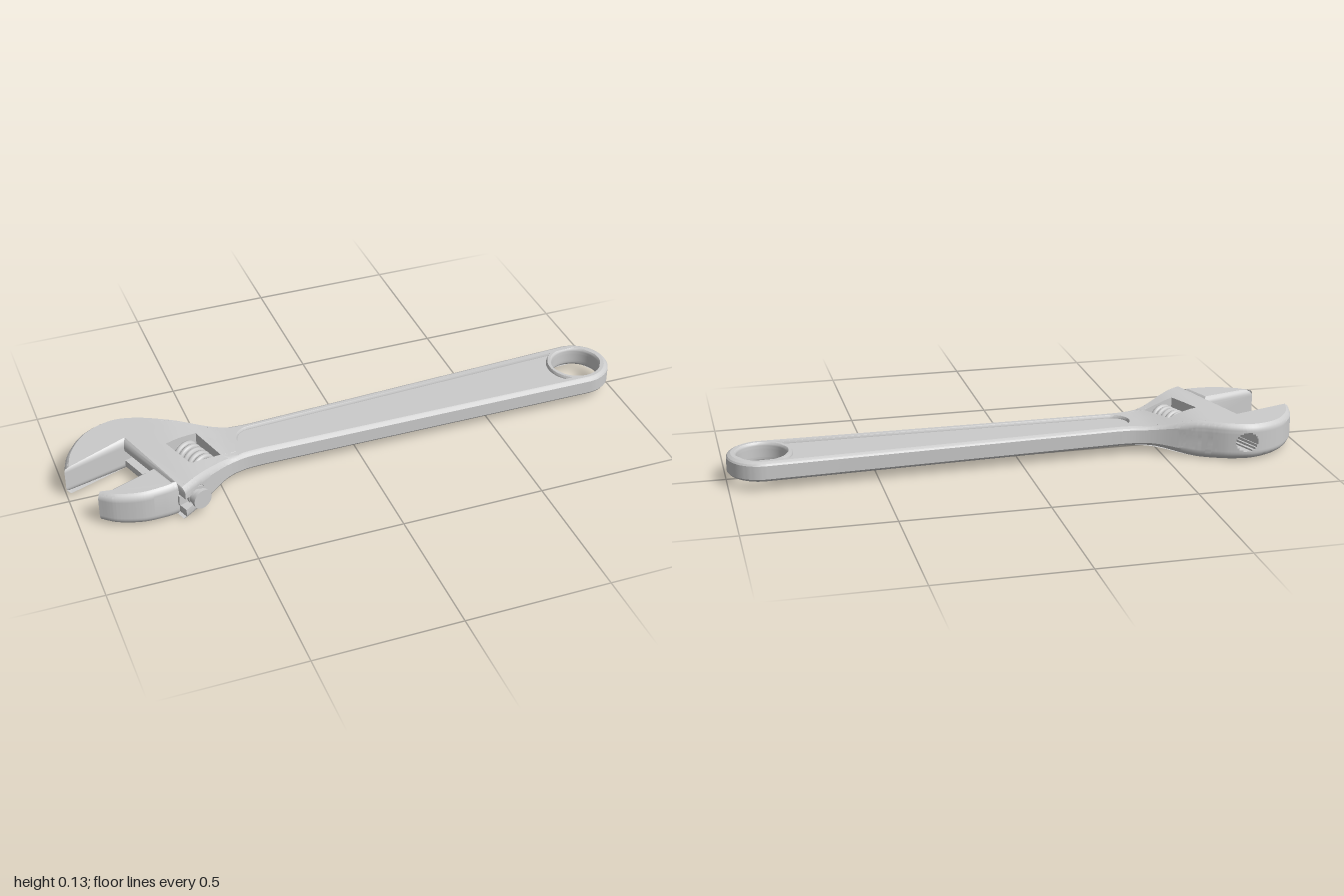
import * as THREE from 'three';
import { toCreasedNormals } from 'three/addons/utils/BufferGeometryUtils.js';

const V = (x, y) => new THREE.Vector2(x, y);
const MID = 0.066; // height of the middle plane, also half the head thickness
const A = V(-0.78, 0.096); // inner corner of the fixed jaw
const D = V(0.34, -0.94), N = V(0.94, 0.34); // sliding direction and its normal
const mat = new THREE.MeshStandardMaterial({ color: 0xcccccc });
const local = (off, t) => A.clone().addScaledVector(N, off).addScaledVector(D, t);

// Thickness relative to the head: thinner at the jaw tips and along the handle
function thickness(x) {
  if (x < -0.65) return 1 - 0.18 * (-0.65 - x) / 0.35;
  return 1 - 0.47 * THREE.MathUtils.smoothstep(x, -0.63, -0.44);
}

// Closed loop with a given winding and no repeated points
function loop(path, ccw = true, bevel = 1) {
  let p = Array.isArray(path) ? path : path.getPoints(24);
  p = p.filter((q, i) => q.distanceTo(p[(i + 1) % p.length]) > 1e-5);
  if (THREE.ShapeUtils.isClockWise(p) === ccw) p.reverse();
  p.bevel = bevel;
  return p;
}

function inset(p, d) {
  return p.map((q, i) => {
    const a = q.clone().sub(p[(i + p.length - 1) % p.length]).normalize();
    const b = p[(i + 1) % p.length].clone().sub(q).normalize();
    const k = d / Math.max(0.5, 1 + a.dot(b));
    return V(q.x - (a.y + b.y) * k, q.y + (a.x + b.x) * k);
  });
}

// Keep the part of a polygon where (p - A) . dir <= limit
function clip(p, dir, limit) {
  const out = [], f = q => limit - q.clone().sub(A).dot(dir);
  p.forEach((q, i) => {
    const r = p[(i + 1) % p.length], a = f(q), b = f(r);
    if (a >= 0) out.push(q);
    if (a * b < 0) out.push(q.clone().lerp(r, a / (a - b)));
  });
  return loop(out);
}

// Add a triangle, splitting it finely where the thickness changes
function tri(out, a, b, c) {
  const e = [[a, b, c], [b, c, a], [c, a, b]];
  const span = ([p, q]) => Math.max(p.x, q.x) > -0.66 && Math.min(p.x, q.x) < -0.42 ? Math.abs(p.x - q.x) : 0;
  e.sort((p, q) => span(q) - span(p));
  const [p, q, r] = e[0];
  if (span(e[0]) > 0.03) {
    const m = p.clone().lerp(q, 0.5);
    tri(out, p, m, r);
    tri(out, m, q, r);
  } else for (const s of [a, b, c]) out.push(s.x, MID + s.y * thickness(s.x), s.z);
}

// Stack outline rings [height, inset] into a solid with holes
function slab(out, contour, holes, rings) {
  const loops = [contour, ...holes];
  const at = rings.map(([h, d]) => loops.map(l =>
    inset(l, d * l.bevel).map(q => new THREE.Vector3(q.x, h, -q.y))));
  for (let k = 0; k + 1 < rings.length; k++) loops.forEach((l, n) => l.forEach((_, i) => {
    const j = (i + 1) % l.length, lo = at[k][n], hi = at[k + 1][n];
    tri(out, lo[i], lo[j], hi[j]);
    tri(out, lo[i], hi[j], hi[i]);
  }));
  const bottom = at[0].flat(), top = at[at.length - 1].flat();
  for (const [a, b, c] of THREE.ShapeUtils.triangulateShape(contour.slice(), holes.map(h => h.slice()))) {
    tri(out, top[a], top[b], top[c]);
    tri(out, bottom[a], bottom[c], bottom[b]);
  }
}

function solid(name, out) {
  const g = new THREE.BufferGeometry();
  g.setAttribute('position', new THREE.Float32BufferAttribute(out, 3));
  const m = new THREE.Mesh(toCreasedNormals(g, 0.4), mat);
  m.name = name;
  return m;
}

export function createModel() {
  const root = new THREE.Group();
  root.name = 'adjustableWrench';
  const add = (parent, name, geo, x = 0, z = 0) => {
    const m = new THREE.Mesh(geo, mat);
    m.name = name;
    m.position.set(x, 0, z);
    parent.add(m);
  };

  // Outline of the body: fixed jaw, head, handle and ring end
  const s = new THREE.Path();
  s.moveTo(-1, 0.03).lineTo(A.x, A.y).lineTo(-0.66, -0.235);
  s.splineThru([V(-0.61, -0.2), V(-0.53, -0.143), V(-0.475, -0.109), V(-0.41, -0.089), V(-0.34, -0.084)]);
  s.lineTo(0.88, -0.09);
  s.absarc(0.88, 0.028, 0.118, -Math.PI / 2, Math.PI / 2 + 0.05);
  s.lineTo(-0.35, 0.09);
  s.splineThru([V(-0.42, 0.095), V(-0.5, 0.119), V(-0.61, 0.175), V(-0.71, 0.226),
    V(-0.8, 0.24), V(-0.9, 0.2), V(-0.97, 0.115), V(-1, 0.03)]);
  const outline = loop(s);

  // Openings: hanging hole, worm window and handle recess
  const ring = loop(new THREE.Path().absarc(0.88, 0.028, 0.085, 0, Math.PI * 2), false, 0.4);
  const window_ = loop([local(0.097, 0.11), local(0.22, 0.11), local(0.22, 0.25), local(0.097, 0.25)], false, 0);
  const r = new THREE.Path();
  r.absarc(-0.35, 0.005, 0.056, Math.PI / 2, Math.PI * 1.5);
  r.absarc(0.88, 0.028, 0.105, Math.PI + 0.96, Math.PI - 0.92, true);
  const recess = loop(r, false, 0.3);
  const holes = [ring, window_, recess];

  // Body: bevelled outer layers, and middle bands that leave a round channel with a slot
  const body = [];
  const upper = [[0.036, 0], [0.044, 0], [0.055, 0.004], [0.061, 0.009], [MID, 0.015]];
  const lower = upper.map(([h, d]) => [-h, d]).reverse();
  slab(body, outline, holes, upper);
  slab(body, outline, holes, lower);
  const edges = [-0.036, -0.03, -0.022, -0.012, 0, 0.012, 0.022, 0.03, 0.036];
  for (let i = 0; i + 1 < edges.length; i++) {
    const mid = (edges[i] + edges[i + 1]) / 2, w = Math.sqrt(0.036 ** 2 - mid ** 2);
    const rings = [[edges[i], 0], [edges[i + 1], 0]];
    slab(body, clip(outline, N.clone().negate(), -0.06 - w), holes, rings);
    let jaw = clip(outline, N, 0.06 - w);
    if (Math.abs(mid) < 0.02) jaw = clip(jaw, D, 0);
    slab(body, jaw, [], rings);
  }
  root.add(solid('body', body));

  // Thin web closing the handle recess
  const web = [];
  slab(web, loop(inset(recess, 0.005), true), [], [[-0.045, 0], [0.045, 0]]);
  root.add(solid('handleWeb', web));

  // Sliding jaw
  const j = new THREE.Path();
  j.moveTo(-0.93, -0.15);
  j.splineThru([V(-0.88, -0.186), V(-0.8, -0.21), V(-0.72, -0.209), V(-0.673, -0.2)]);
  j.lineTo(-0.719, -0.074);
  const jaw = [];
  slab(jaw, loop(j), [], [...lower, ...upper]);
  root.add(solid('slidingJaw', jaw));

  // Parts along the sliding axis: local x leads away from the jaw, z along the slide
  const slide = new THREE.Group();
  slide.name = 'slideMechanism';
  slide.position.set(A.x, MID, -A.y);
  slide.rotation.y = Math.atan2(0.34, 0.94);
  root.add(slide);
  const rod = (rad, len) => new THREE.CylinderGeometry(rad, rad, len, 28).rotateX(Math.PI / 2);
  add(slide, 'jawWeb', new THREE.BoxGeometry(0.06, 0.036, 0.145), 0.025, 0.25);
  add(slide, 'rackCore', rod(0.027, 0.245), 0.054, 0.242);
  for (let i = 0; i < 9; i++) add(slide, 'rackTooth', rod(0.035, 0.014), 0.06, 0.127 + i * 0.0288);

  // Worm screw: core with a helical thread
  add(slide, 'wormCore', rod(0.038, 0.136), 0.158, 0.18);
  const helix = [];
  for (let i = 0; i <= 80; i++) {
    const a = i / 80 * Math.PI * 9;
    helix.push(new THREE.Vector3(0.045 * Math.cos(a), 0.045 * Math.sin(a), -0.054 + 0.108 * i / 80));
  }
  add(slide, 'wormThread', new THREE.TubeGeometry(new THREE.CatmullRomCurve3(helix), 200, 0.01, 8), 0.158, 0.18);
  return root;
}
